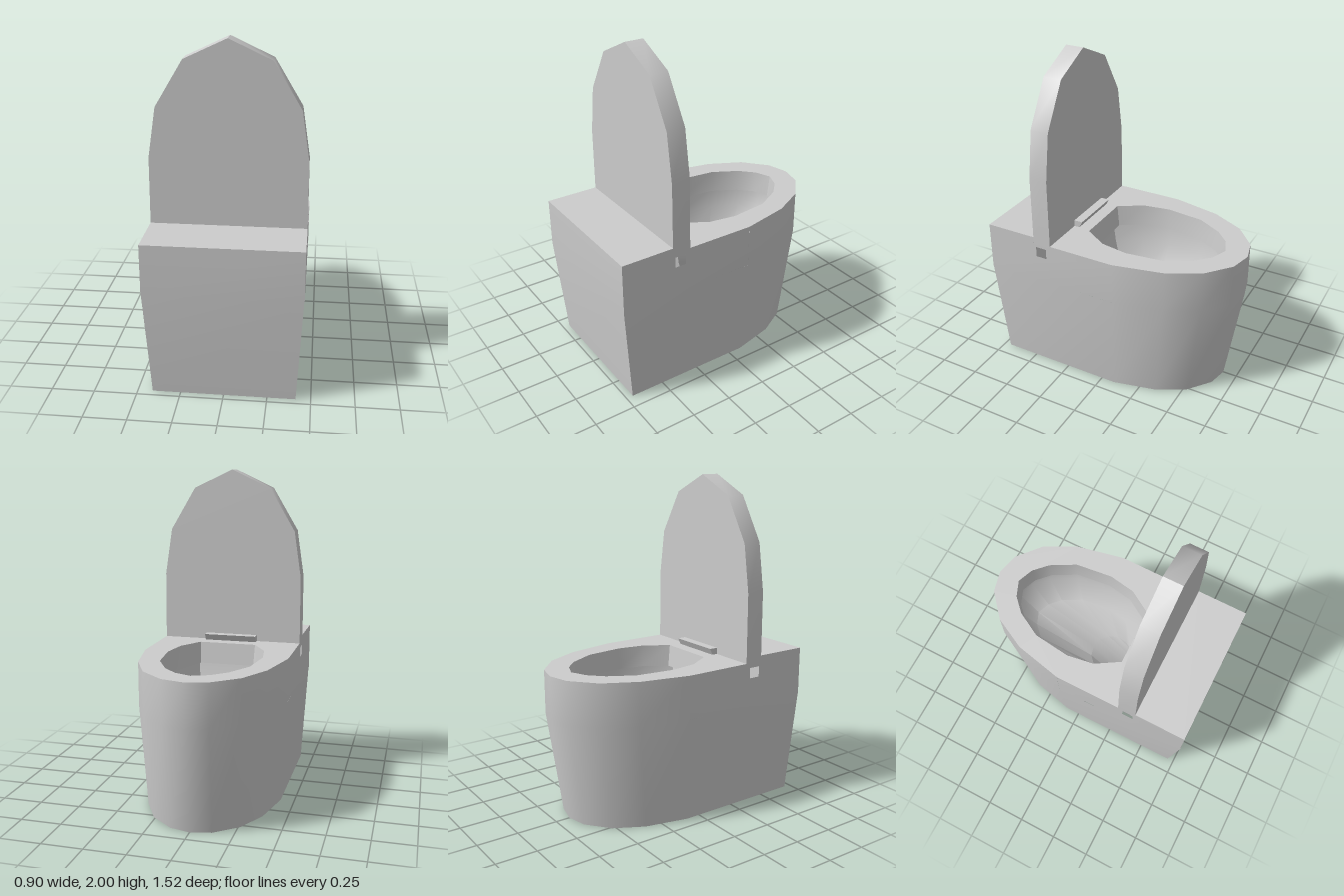
import * as THREE from 'three';
import { mergeGeometries, toCreasedNormals } from 'three/addons/utils/BufferGeometryUtils.js';

const CREASE = 0.62;

// Skin a list of rings (arrays of [x, y, z]) with quads
function loft(rings, closed = true) {
  const n = rings[0].length, idx = [];
  for (let i = 0; i < rings.length - 1; i++) {
    for (let j = 0; j < (closed ? n : n - 1); j++) {
      const k = (j + 1) % n;
      const a0 = i * n + j, b0 = i * n + k, a1 = a0 + n, b1 = b0 + n;
      idx.push(a0, a1, b0, b0, a1, b1);
    }
  }
  const g = new THREE.BufferGeometry();
  g.setAttribute('position', new THREE.Float32BufferAttribute(rings.flat(2), 3));
  g.setIndex(idx);
  return g;
}

// Mirror a half outline [x, z] that starts at the front tip
const fullOutline = half =>
  [...half, ...half.slice(1).reverse().map(([x, z]) => [-x, z])];

const shapeOf = pts => new THREE.Shape(pts.map(([x, y]) => new THREE.Vector2(x, y)));

// Join surfaces and smooth them, keeping sharp corners
function smooth(...geos) {
  const bare = geos.map(g => {
    const b = g.index ? g.toNonIndexed() : g;
    for (const name of Object.keys(b.attributes)) if (name !== 'position') b.deleteAttribute(name);
    return b;
  });
  const merged = mergeGeometries(bare);
  merged.computeVertexNormals();
  return toCreasedNormals(merged, CREASE);
}

export function createModel() {
  const group = new THREE.Group();
  const ceramic = new THREE.MeshStandardMaterial({ color: 0xcccccc, side: THREE.DoubleSide });
  ceramic.name = 'light grey ceramic';
  const add = (name, geo) => {
    const mesh = new THREE.Mesh(geo, ceramic);
    mesh.name = name;
    group.add(mesh);
  };

  const deckY = 0.905, tankY = 0.94, waistY = 0.64;
  const lidFront = 0.32, lidBack = 0.435, backZ = 0.76, lidBase = 0.88;

  // Outer shell: tapered lower part, straight upper part, open underneath
  const frontHalf = [[0, -0.76], [0.135, -0.727], [0.283, -0.6], [0.385, -0.4], [0.45, -0.1]];
  const outline = fullOutline([...frontHalf, [0.447, backZ]]);
  const base = outline.map(([x, z]) => [x * 0.925, 0, z * (z < 0 ? 0.87 : 0.932)]);
  const at = (pts, y) => pts.map(([x, z]) => [x, y, z]);
  const lower = loft([base, at(outline, waistY)]);
  const nose = [...frontHalf.slice(1).reverse().map(([x, z]) => [-x, z]), ...frontHalf];
  const upperFront = loft([at(nose, waistY), at(nose, deckY)], false);

  // Upper side walls with the square hinge hole
  const sides = [1, -1].map(s => {
    const flip = pts => pts.map(([z, y]) => [-s * z, y]);
    const wall = shapeOf(flip([[-0.1, waistY], [backZ, waistY], [backZ, tankY], [lidBack, tankY],
      [lidBack, lidBase], [lidFront, lidBase], [lidFront, deckY], [-0.1, deckY]]));
    wall.holes.push(shapeOf(flip([[0.35, 0.81], [0.42, 0.81], [0.42, 0.875], [0.35, 0.875]])));
    return new THREE.ShapeGeometry(wall).rotateY(s * Math.PI / 2).translate(s * 0.449, 0, 0);
  });
  const back = new THREE.PlaneGeometry(0.898, tankY - waistY).translate(0, (tankY + waistY) / 2, backZ);
  add('bodyShell', smooth(lower, upperFront, ...sides, back));

  // Flat seat deck with the bowl opening
  const rim = fullOutline([[0, -0.622], [0.1, -0.582], [0.185, -0.5], [0.27, -0.345],
    [0.298, -0.11], [0.27, 0.06], [0.18, 0.208]]);
  const deck = shapeOf(fullOutline([...frontHalf, [0.449, lidFront]]).map(([x, z]) => [x, -z]));
  deck.holes.push(shapeOf(rim.map(([x, z]) => [x, -z])));
  add('seatDeck', new THREE.ShapeGeometry(deck).rotateX(-Math.PI / 2).translate(0, deckY, 0));

  // Tank top behind the lid
  add('tankTop', new THREE.PlaneGeometry(0.898, backZ - lidBack).rotateX(-Math.PI / 2)
    .translate(0, tankY, (backZ + lidBack) / 2));

  // Bowl: rim wall, undercut, basin and slanted drain pipe
  const cz = -0.2;
  const rimRing = (scale, y, shift = 0) =>
    rim.map(([x, z]) => [x * scale, y, cz + shift + (z - cz) * scale]);
  const pipeRing = (r, y, z0) => rim.map((_, j) => {
    const t = j / rim.length * Math.PI * 2;
    return [r * Math.sin(t), y, z0 - r * Math.cos(t)];
  });
  add('bowl', smooth(loft([
    rimRing(1, deckY), rimRing(0.96, 0.77), rimRing(1.1, 0.76),
    rimRing(1.05, 0.64), rimRing(0.82, 0.46, 0.03),
    pipeRing(0.14, 0.3, 0.05), pipeRing(0.135, 0.01, 0.3),
  ])));
  add('drainEnd', new THREE.CircleGeometry(0.135, 13).rotateX(Math.PI / 2)
    .rotateY(Math.PI / 2).translate(0, 0.01, 0.3));

  // Raised lid, a slab with a faceted arch
  const lidHalf = [[0, 2], [0.245, 1.885], [0.403, 1.62], [0.447, 1.33], [0.449, lidBase]];
  const lid = new THREE.ExtrudeGeometry(shapeOf(fullOutline(lidHalf)),
    { depth: lidBack - lidFront, bevelEnabled: false }).translate(0, 0, lidFront);
  add('lid', smooth(lid));

  // Small hinge block with an undercut front
  const block = shapeOf([[-lidFront, deckY], [-lidFront, 0.945], [-0.265, 0.945], [-0.285, deckY]]);
  add('hingeBlock', new THREE.ExtrudeGeometry(block, { depth: 0.335, bevelEnabled: false })
    .rotateY(Math.PI / 2).translate(-0.168, 0, 0));

  return group;
}
